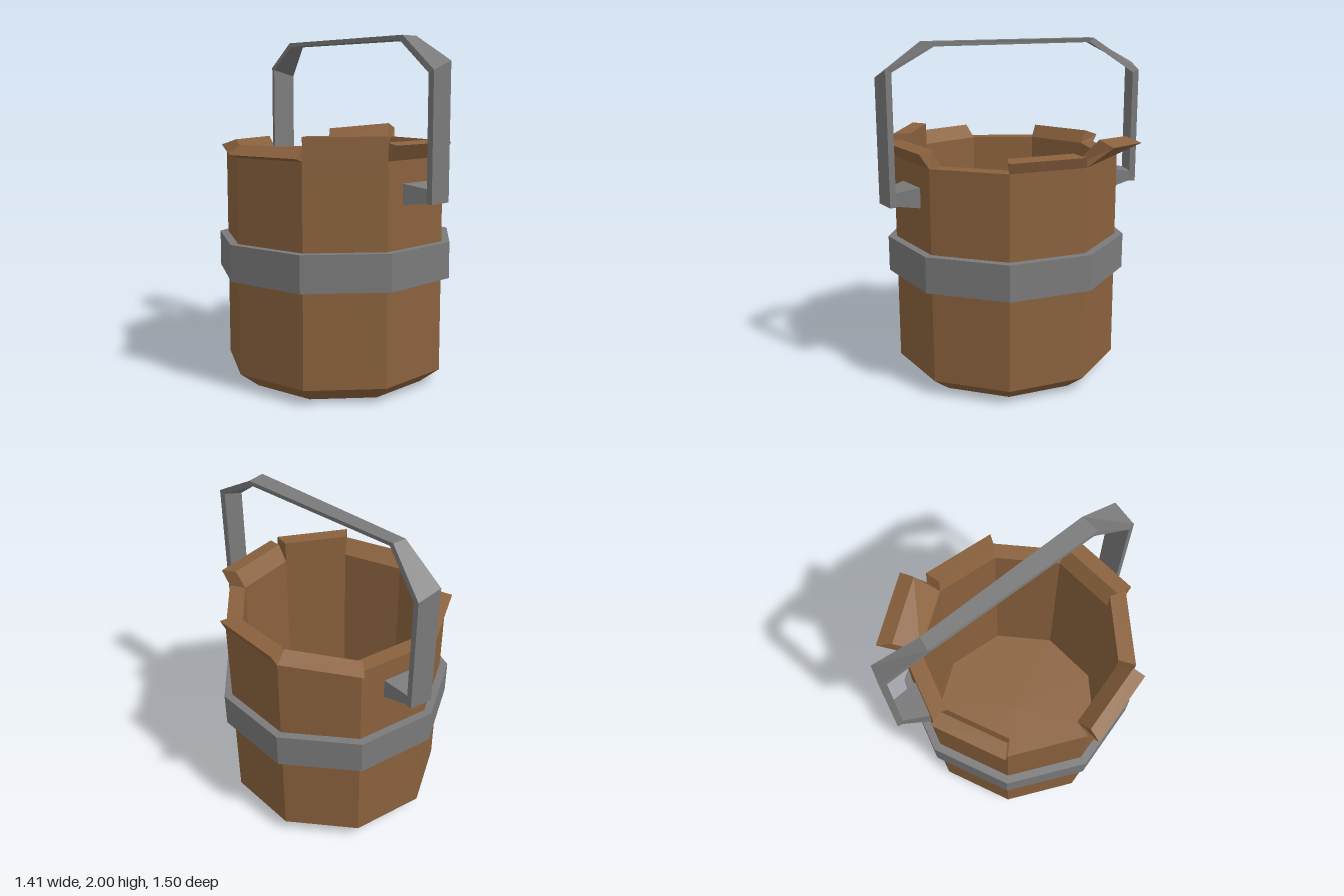
import * as THREE from 'three';

const SIDES = 9;
const CZ = 0.065;      // z of the bucket axis
const RIM = 1.335;     // height of the lowest staves
const wood = new THREE.MeshStandardMaterial({ color: 0x8a613d, flatShading: true });
const metal = new THREE.MeshStandardMaterial({ color: 0x7a7a7a, flatShading: true });

function addMesh(parent, name, geometry, material) {
  const mesh = new THREE.Mesh(geometry, material);
  mesh.name = name;
  parent.add(mesh);
  return mesh;
}

// Nine-sided turned shape with one corner pointing straight back
function turned(profile) {
  const points = profile.map(([r, y]) => new THREE.Vector2(r, y));
  return new THREE.LatheGeometry(points, SIDES, Math.PI).translate(0, 0, CZ);
}

// Closed solid through four-cornered cross-sections
function loft(rings) {
  const positions = [];
  const quad = (a, b, c, d) => positions.push(...a, ...b, ...c, ...a, ...c, ...d);
  for (let i = 0; i < rings.length - 1; i++) {
    for (let j = 0; j < 4; j++) {
      const k = (j + 1) % 4;
      quad(rings[i][j], rings[i][k], rings[i + 1][k], rings[i + 1][j]);
    }
  }
  quad(...[...rings[0]].reverse());
  quad(...rings[rings.length - 1]);
  const geometry = new THREE.BufferGeometry();
  geometry.setAttribute('position', new THREE.Float32BufferAttribute(positions, 3));
  geometry.computeVertexNormals();
  return geometry;
}

// Point in the frame of stave s: outward distance, sideways offset, height
function onStave(s, out, side, y) {
  const a = ((s + 0.5) * 2 * Math.PI) / SIDES;
  return [
    out * Math.sin(a) + side * Math.cos(a),
    y,
    CZ - out * Math.cos(a) + side * Math.sin(a),
  ];
}

// Raised or splayed stave end; lean lifts one end above the other
function staveTop({ s, outR, outY, outHalf, inR, inY, inHalf, shift = 0, lean = 0 }) {
  const bottom = [[0.531, -0.193], [0.531, 0.193], [0.625, 0.2275], [0.625, -0.2275]]
    .map(([r, t]) => onStave(s, r, t, RIM));
  const top = [
    onStave(s, inR, shift - inHalf, inY - lean),
    onStave(s, inR, shift + inHalf, inY + lean),
    onStave(s, outR, shift + outHalf, outY + lean),
    onStave(s, outR, shift - outHalf, outY - lean),
  ];
  return loft([bottom, top]);
}

// Tapered block between a stave and a handle leg
function bracket(s, side, legR, legLow, legHigh) {
  const ring = (r, t, half, low, high) => [
    onStave(s, r, t + half, low), onStave(s, r, t - half, low),
    onStave(s, r, t - half, high), onStave(s, r, t + half, high),
  ];
  return loft([
    ring(0.615, side, 0.113, 1.09, 1.21),
    ring(legR, side, 0.068, legLow, legHigh),
  ]);
}

export function createModel() {
  const model = new THREE.Group();
  model.name = 'bucket';

  // Hollow body with a bevelled foot
  addMesh(model, 'body', turned([
    [0, 0], [0.548, 0], [0.665, 0.09], [0.665, RIM],
    [0.565, RIM], [0.565, 0.1], [0, 0.1],
  ]), wood);

  // Uneven stave ends around the rim
  const staves = new THREE.Group();
  staves.name = 'staveTops';
  model.add(staves);
  [
    { s: 0, outR: 0.766, outY: 1.43, outHalf: 0.226, inR: 0.672, inY: 1.465, inHalf: 0.205, shift: -0.03, lean: 0.02 },
    { s: 1, outR: 0.65, outY: 1.395, outHalf: 0.226, inR: 0.557, inY: 1.405, inHalf: 0.195, shift: 0.015 },
    { s: 3, outR: 0.682, outY: 1.42, outHalf: 0.227, inR: 0.59, inY: 1.432, inHalf: 0.2 },
    { s: 4, outR: 0.625, outY: 1.465, outHalf: 0.2275, inR: 0.531, inY: 1.465, inHalf: 0.193 },
    { s: 5, outR: 0.695, outY: 1.355, outHalf: 0.235, inR: 0.62, inY: 1.408, inHalf: 0.215, shift: -0.01 },
    { s: 7, outR: 0.659, outY: 1.378, outHalf: 0.229, inR: 0.575, inY: 1.41, inHalf: 0.2 },
  ].forEach((stave) => addMesh(staves, 'staveTop', staveTop(stave), wood));

  // Metal hoop
  addMesh(model, 'hoop', turned([
    [0.66, 0.64], [0.714, 0.64], [0.714, 0.85], [0.66, 0.85], [0.66, 0.64],
  ]), metal);

  // Handle: cross-sections from the front leg, over the top, to the back leg
  const frontLeg = (ya, yb, drop) => [
    [0.455, yb, 0.718], [0.565, ya, 0.624], [0.542, ya - drop, 0.597], [0.432, yb - drop, 0.691],
  ];
  const backLeg = (ya, yb, drop) => [
    [-0.376, yb, -0.667], [-0.247, ya, -0.714], [-0.234, ya - drop, -0.679], [-0.363, yb - drop, -0.632],
  ];
  addMesh(model, 'handle', loft([
    frontLeg(1.105, 1.105, 0),
    frontLeg(1.86, 1.81, 0.015),
    [[0.325, 2, 0.49], [0.412, 2, 0.416], [0.397, 1.975, 0.396], [0.31, 1.975, 0.47]],
    [[-0.263, 2, -0.41], [-0.188, 2, -0.443], [-0.178, 1.975, -0.42], [-0.253, 1.975, -0.387]],
    backLeg(1.81, 1.85, 0.015),
    backLeg(1.125, 1.125, 0),
  ]), metal);

  // Handle brackets
  addMesh(model, 'frontBracket', bracket(3, 0, 0.76, 1.11, 1.185), metal);
  addMesh(model, 'backBracket', bracket(8, -0.036, 0.785, 1.13, 1.19), metal);

  return model;
}
